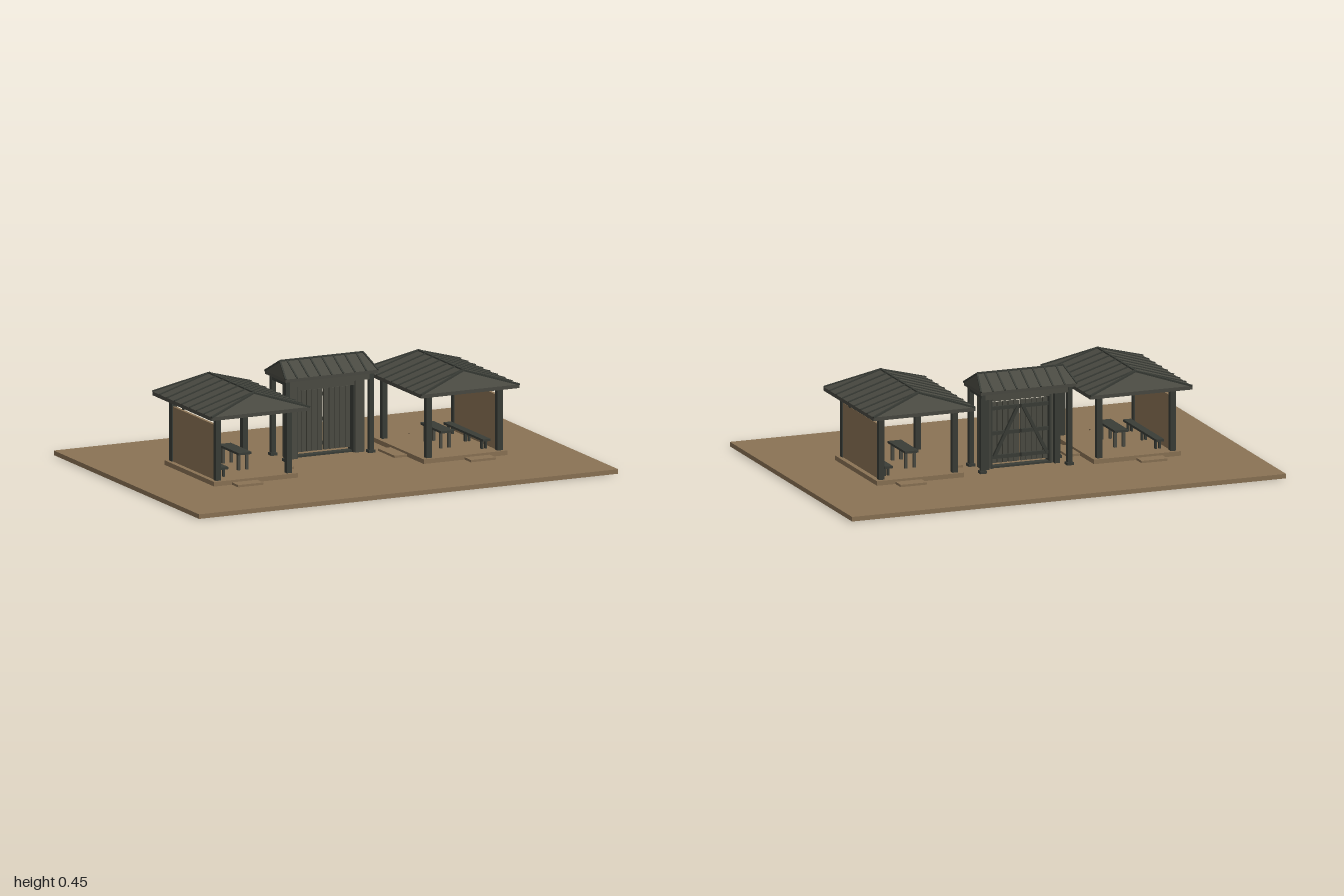
import * as THREE from 'three';

const paint = (name, hex) => {
  const m = new THREE.MeshStandardMaterial({ color: hex });
  m.name = name;
  return m;
};

export function createModel() {
  const earth = paint('earthBrown', 0x8b7355);
  const tile = paint('roofGrey', 0x4a4a42);
  const timber = paint('darkTimber', 0x3a3d37);
  const boards = paint('doorBoards', 0x4c4c43);
  const model = new THREE.Group();
  model.name = 'courtyard';

  const group = (name, parent = model) => {
    const g = new THREE.Group();
    g.name = name;
    parent.add(g);
    return g;
  };

  // box given by its min and max on each axis
  const box = (parent, name, mat, [x0, x1], [y0, y1], [z0, z1]) => {
    const m = new THREE.Mesh(new THREE.BoxGeometry(Math.abs(x1 - x0), y1 - y0, Math.abs(z1 - z0)), mat);
    m.position.set((x0 + x1) / 2, (y0 + y1) / 2, (z0 + z1) / 2);
    m.name = name;
    parent.add(m);
    return m;
  };

  // square bar running between two points
  const bar = (parent, name, mat, a, b, w, h = w) => {
    const p = new THREE.Vector3(...a), q = new THREE.Vector3(...b);
    const m = new THREE.Mesh(new THREE.BoxGeometry(w, h, p.distanceTo(q)), mat);
    m.position.copy(p).add(q).multiplyScalar(0.5);
    m.lookAt(q);
    m.name = name;
    parent.add(m);
  };

  // hipped roof shell with its ridge along z, plus ribs
  const hipRoof = (parent, name, { hw, hl, ridge, eaveY, ridgeY, thick, ribs, step, rib }) => {
    const g = group(name, parent);
    const layer = (d) => [
      [-hw, eaveY - d, hl], [hw, eaveY - d, hl], [hw, eaveY - d, -hl], [-hw, eaveY - d, -hl],
      [0, ridgeY - d, ridge], [0, ridgeY - d, -ridge]];
    const pts = [...layer(0), ...layer(thick)];
    const top = [[0, 1, 4], [1, 2, 5], [1, 5, 4], [2, 3, 5], [3, 0, 4], [3, 4, 5]];
    const faces = [...top, ...top.map(([a, b, c]) => [a + 6, c + 6, b + 6])];
    for (let i = 0; i < 4; i++) {
      const j = (i + 1) % 4;
      faces.push([i, i + 6, j + 6], [i, j + 6, j]);
    }
    const geo = new THREE.BufferGeometry();
    geo.setAttribute('position', new THREE.Float32BufferAttribute(faces.flat().flatMap((i) => pts[i]), 3));
    geo.computeVertexNormals();
    const shell = new THREE.Mesh(geo, tile);
    shell.name = 'roofShell';
    g.add(shell);

    for (const s of [-1, 1]) {
      for (let k = -ribs; k <= ribs; k++) {
        const z = k * step;
        bar(g, 'roofRib', timber, [0, ridgeY, z], [s * hw, eaveY, z], rib, 0.008);
      }
      for (const e of [-1, 1])
        bar(g, 'hipRib', timber, [0, ridgeY, e * ridge], [s * hw, eaveY, e * hl], rib, 0.008);
    }
    bar(g, 'ridgeCap', timber, [0, ridgeY, -ridge], [0, ridgeY, ridge], rib, 0.01);
    return g;
  };

  box(model, 'ground', earth, [-1, 1], [0, 0.02], [-0.7, 0.7]);

  // two open pavilions, mirrored about the gate
  for (const s of [-1, 1]) {
    const p = group(s > 0 ? 'leftPavilion' : 'rightPavilion');
    const X = (a, b) => (s > 0 ? [a, b] : [-b, -a]);
    box(p, 'platform', earth, X(0.3, 0.7), [0.02, 0.04], [-0.24, 0.24]);
    box(p, 'sideStep', earth, X(0.24, 0.3), [0.02, 0.03], [-0.08, 0.08]);
    for (const e of [-1, 1]) {
      box(p, 'endStep', earth, X(0.495, 0.615), [0.02, 0.03], [e * 0.24, e * 0.3]);
      for (const x of [0.333, 0.672])
        box(p, 'post', timber, X(x - 0.0125, x + 0.0125), [0.04, 0.345], [e * 0.2, e * 0.225]);
      box(p, 'endBeam', timber, X(0.32, 0.685), [0.322, 0.342], [e * 0.203, e * 0.222]);
    }
    for (const x of [0.333, 0.672])
      box(p, 'sideBeam', timber, X(x - 0.01, x + 0.01), [0.322, 0.342], [-0.222, 0.222]);
    box(p, 'wall', earth, X(0.665, 0.679), [0.04, 0.28], [-0.2, 0.2]);

    // bench along the wall
    box(p, 'benchSeat', timber, X(0.607, 0.643), [0.077, 0.087], [-0.19, 0.19]);
    for (const z of [-0.16, 0, 0.16])
      for (const x of [0.612, 0.63])
        box(p, 'benchLeg', timber, X(x, x + 0.009), [0.04, 0.077], [z - 0.006, z + 0.006]);

    // table
    box(p, 'tableTop', timber, X(0.452, 0.514), [0.11, 0.12], [-0.1, 0.1]);
    for (const z of [-0.075, 0.075])
      for (const x of [0.457, 0.496])
        box(p, 'tableLeg', boards, X(x, x + 0.012), [0.04, 0.11], [z - 0.006, z + 0.006]);

    // roof with a small drip knob on its eave
    const roof = hipRoof(p, 'pavilionRoof', {
      hw: 0.235, hl: 0.285, ridge: 0.217, eaveY: 0.335, ridgeY: 0.407, thick: 0.016,
      ribs: 3, step: 0.071, rib: 0.009 });
    roof.position.x = s * 0.5;
    const knob = new THREE.Mesh(new THREE.SphereGeometry(0.007, 10, 8), timber);
    knob.position.set(s * 0.728, 0.317, 0);
    knob.name = 'eaveKnob';
    p.add(knob);
  }

  // gate between the pavilions
  const gate = group('gate');
  const zc = -0.14;
  for (const s of [-1, 1]) {
    for (const z of [-0.07, -0.205]) {
      box(gate, 'gatePost', timber, [s * 0.19, s * 0.21], [0.02, 0.38], [z - 0.01, z + 0.01]);
      box(gate, 'postFoot', timber, [s * 0.185, s * 0.215], [0.02, 0.032], [z - 0.015, z + 0.015]);
    }
    box(gate, 'postTie', timber, [s * 0.192, s * 0.208], [0.352, 0.372], [-0.22, -0.06]);
    box(gate, 'doorJamb', boards, [s * 0.138, s * 0.18], [0.02, 0.36], [-0.145, -0.09]);
    box(gate, 'jambStrip', timber, [s * 0.132, s * 0.14], [0.02, 0.335], [-0.15, -0.1]);
    box(gate, 'jambBack', timber, [s * 0.15, s * 0.175], [0.02, 0.36], [-0.163, -0.145]);

    // door leaf of five boards with rails and a diagonal brace behind
    const leaf = group('doorLeaf', gate);
    for (let i = 0; i < 5; i++) {
      const x = 0.004 + i * 0.0256;
      box(leaf, 'doorBoard', boards, [s * x, s * (x + 0.0225)], [0.04, 0.308], [-0.134, -0.124]);
    }
    for (const y of [0.06, 0.165, 0.275])
      box(leaf, 'doorRail', timber, [s * 0.004, s * 0.13], [y, y + 0.016], [-0.143, -0.134]);
    bar(leaf, 'doorBrace', timber, [s * 0.012, 0.282, -0.142], [s * 0.122, 0.068, -0.142], 0.012, 0.014);
  }
  box(gate, 'threshold', timber, [-0.14, 0.14], [0.02, 0.028], [-0.145, -0.11]);
  box(gate, 'lintel', boards, [-0.18, 0.18], [0.315, 0.335], [-0.145, -0.1]);
  for (const z of [-0.07, -0.205])
    box(gate, 'crossBeam', boards, [-0.195, 0.195], [0.342, 0.37], [z - 0.008, z + 0.008]);

  const gateRoof = hipRoof(gate, 'gateRoof', {
    hw: 0.1, hl: 0.22, ridge: 0.198, eaveY: 0.385, ridgeY: 0.444, thick: 0.014,
    ribs: 3, step: 0.055, rib: 0.007 });
  gateRoof.rotation.y = Math.PI / 2;
  gateRoof.position.z = zc;

  return model;
}
